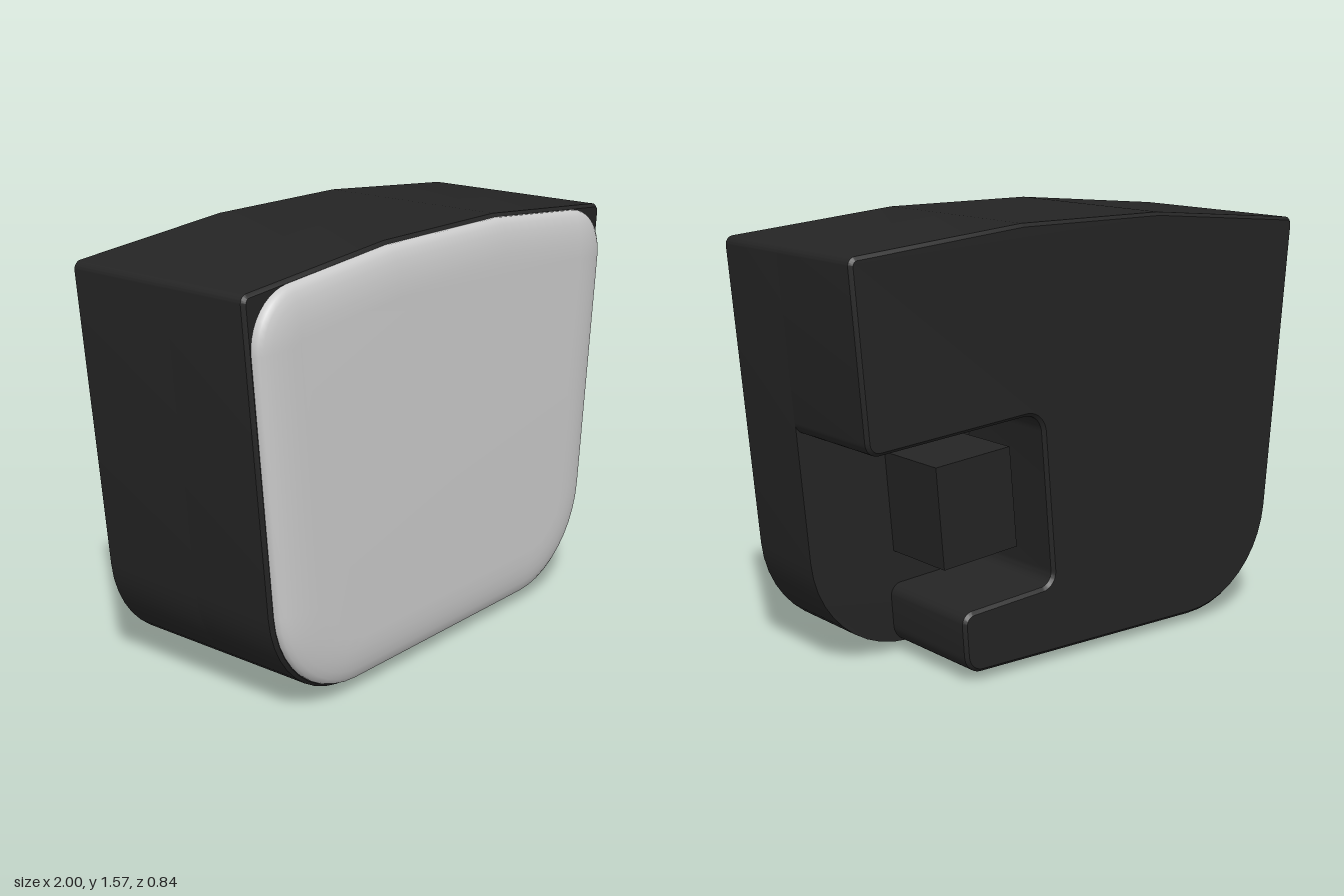
import * as THREE from 'three';
import { toCreasedNormals } from 'three/addons/utils/BufferGeometryUtils.js';

// Counter-clockwise outline from corners [x, y, radius], each corner filleted.
function outline(corners, segments = 10) {
  const pts = [];
  corners.forEach(([x, y, r = 0], i) => {
    const p = new THREE.Vector2(x, y);
    if (!r) return pts.push(p);
    const toward = (j) => {
      const c = corners[(j + corners.length) % corners.length];
      return new THREE.Vector2(c[0], c[1]).sub(p).normalize();
    };
    const u = toward(i - 1), v = toward(i + 1);
    const half = Math.acos(u.dot(v)) / 2, d = r / Math.tan(half);
    const centre = u.clone().add(v).normalize().multiplyScalar(r / Math.sin(half)).add(p);
    const a0 = u.clone().multiplyScalar(d).add(p).sub(centre).angle();
    let sweep = v.clone().multiplyScalar(d).add(p).sub(centre).angle() - a0;
    if (sweep > Math.PI) sweep -= 2 * Math.PI;
    if (sweep < -Math.PI) sweep += 2 * Math.PI;
    for (let k = 0; k <= segments; k++) {
      const a = a0 + sweep * k / segments;
      pts.push(new THREE.Vector2(centre.x + r * Math.cos(a), centre.y + r * Math.sin(a)));
    }
  });
  return pts;
}

// The outline moved inward by a distance, with mitred corners.
function inset(pts, dist) {
  const n = pts.length;
  const normal = (a, b) => new THREE.Vector2(b.y - a.y, a.x - b.x).normalize();
  return pts.map((p, i) => {
    const n1 = normal(pts[(i + n - 1) % n], p), n2 = normal(p, pts[(i + 1) % n]);
    return p.clone().addScaledVector(n1.clone().add(n2), -dist / (1 + n1.dot(n2)));
  });
}

// Solid through layers [z, inset] from back to front, with optional end caps.
function prism(pts, layers, backCap, frontCap, crease = 0.5) {
  const n = pts.length, pos = [], idx = [];
  const rings = layers.map(([z, d]) => {
    const ring = inset(pts, d);
    ring.forEach((p) => pos.push(p.x, p.y, z));
    return ring;
  });
  for (let k = 0; k < layers.length - 1; k++) {
    for (let i = 0; i < n; i++) {
      const j = (i + 1) % n, a = k * n, b = a + n;
      idx.push(a + i, a + j, b + j, a + i, b + j, b + i);
    }
  }
  const last = (layers.length - 1) * n;
  if (backCap) THREE.ShapeUtils.triangulateShape(rings[0], []).forEach(([a, b, c]) => idx.push(a, c, b));
  if (frontCap) THREE.ShapeUtils.triangulateShape(rings[rings.length - 1], [])
    .forEach(([a, b, c]) => idx.push(last + a, last + b, last + c));
  const g = new THREE.BufferGeometry();
  g.setAttribute('position', new THREE.Float32BufferAttribute(pos, 3));
  g.setIndex(idx);
  return toCreasedNormals(g, crease);
}

export function createModel() {
  const model = new THREE.Group();
  const dark = new THREE.MeshStandardMaterial({ color: 0x242424 });
  const grey = new THREE.MeshStandardMaterial({ color: 0xcccccc });
  const add = (name, geometry, material, parent = model) => {
    const mesh = new THREE.Mesh(geometry, material);
    mesh.name = name;
    parent.add(mesh);
    return mesh;
  };

  const BACK = -0.42, STEP = 0.015, FRONT = 0.36, BEVEL = 0.012;
  const upper = [[1.003, 1.505, 0.03], [0.31, 1.567], [-0.31, 1.567], [-1.003, 1.505, 0.03]];
  const lowerRight = [-0.867, 0.035, 0.4];

  // Front half of the housing: the full outline
  const full = outline([lowerRight, [0.867, 0.035, 0.4], ...upper]);
  add('housingFront', prism(full,
    [[STEP, 0], [FRONT - BEVEL, 0], [FRONT, BEVEL]], true, true), dark);

  // Rear half: a recess cut into the left side, leaving a short hook below
  const notched = outline([
    lowerRight,
    [0.553, 0.035, 0.07], [0.57, 0.255, 0.045],   // hook tip
    [0.17, 0.285, 0.05], [0.226, 0.912, 0.07],    // recess inner wall
    [0.945, 0.855, 0.05],                         // overhang
    ...upper,
  ]);
  add('housingRear', prism(notched,
    [[BACK, BEVEL], [BACK + BEVEL, 0], [STEP, 0]], true, false), dark);

  // Domed front cover with generous corners
  const coverOutline = outline([
    [-0.855, 0.048, 0.39], [0.855, 0.048, 0.39], [0.986, 1.493, 0.185],
    [0.31, 1.555], [-0.31, 1.555], [-0.986, 1.493, 0.185],
  ]);
  const dome = [[FRONT - 0.01, 0], [0.372, 0]];
  for (let k = 1; k <= 6; k++) {
    const a = k / 6 * Math.PI / 2;
    dome.push([0.372 + 0.046 * Math.sin(a), 0.17 * (1 - Math.cos(a))]);
  }
  add('frontCover', prism(coverOutline, dome, false, true, 0.6), grey);

  // Connector block standing in the recess
  const block = add('connectorBlock', new THREE.BoxGeometry(0.32, 0.37, 0.305), dark);
  block.position.set(0.41, 0.578, STEP - 0.1525);
  block.rotation.z = -0.087;

  // Round mounting foot with a central recess and a ring of screws
  const foot = new THREE.Group();
  foot.name = 'mountingFoot';
  foot.position.z = -0.03;
  model.add(foot);
  const profile = [[0, 0.028], [0.115, 0.028], [0.135, 0.002], [0.272, 0.002], [0.28, 0.01], [0.28, 0.045]]
    .map(([r, y]) => new THREE.Vector2(r, y));
  add('footDisc', toCreasedNormals(new THREE.LatheGeometry(profile, 48), 0.5), dark, foot);
  for (let i = 0; i < 6; i++) {
    const a = i * Math.PI / 3;
    const screw = add('footScrew', new THREE.CylinderGeometry(0.012, 0.012, 0.01, 12), dark, foot);
    screw.position.set(0.22 * Math.cos(a), 0.005, 0.22 * Math.sin(a));
  }
  return model;
}
